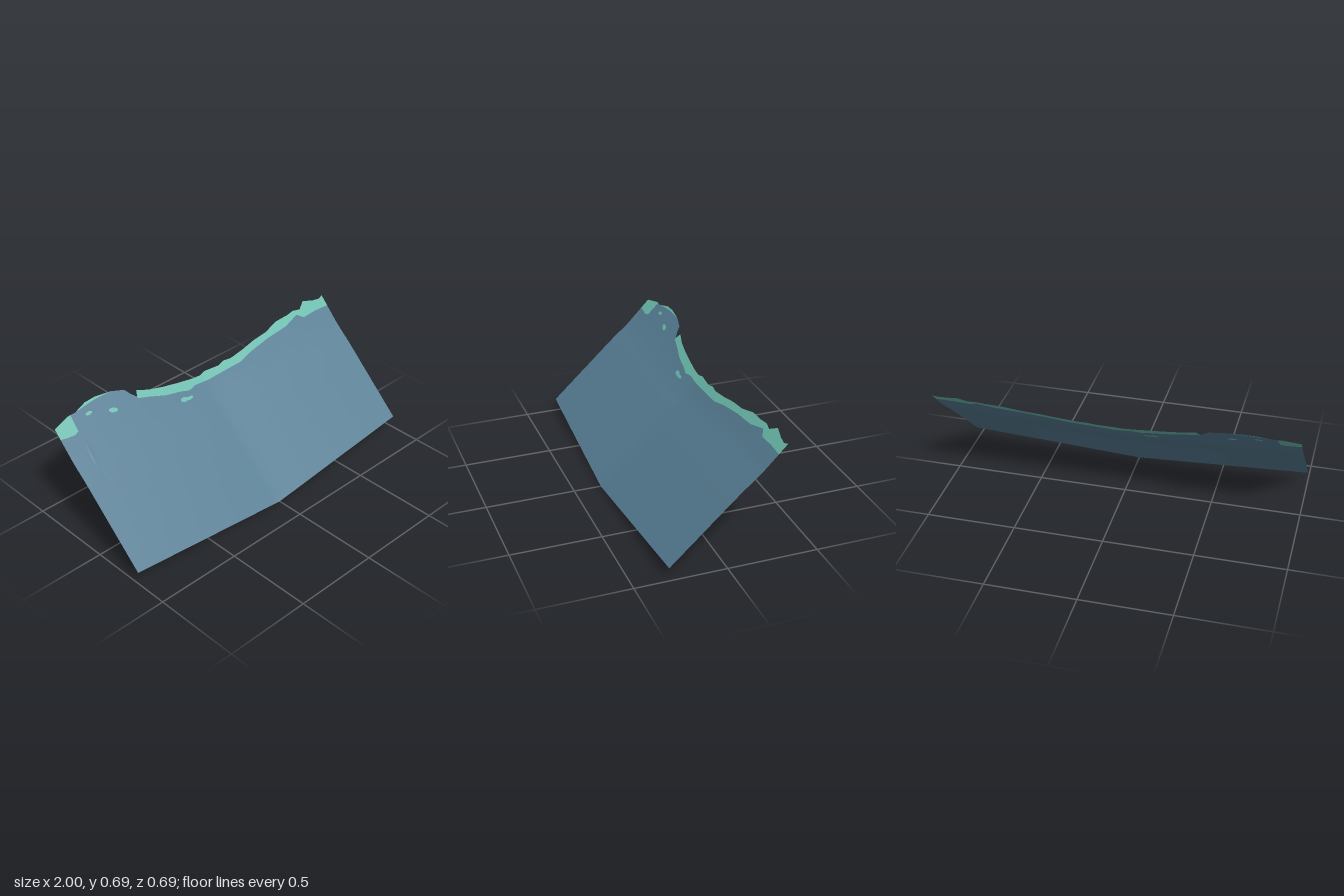
import * as THREE from 'three';

const blue = new THREE.MeshStandardMaterial({ color: 0x567d93, side: THREE.DoubleSide });
blue.name = 'slate blue';
const teal = new THREE.MeshStandardMaterial({ color: 0x6abbac, side: THREE.DoubleSide });
teal.name = 'sea green';

// Ragged top outline and lower limit of the green trim, as [x, y]
const TOP = [[-1, 0.655], [-0.9, 0.675], [-0.85, 0.675], [-0.77, 0.693], [-0.7, 0.695], [-0.6, 0.685],
  [-0.52, 0.665], [-0.5, 0.643], [-0.47, 0.617], [-0.455, 0.642], [-0.38, 0.62], [-0.3, 0.605], [-0.2, 0.59],
  [-0.1, 0.577], [-0.04, 0.573], [0, 0.58], [0.1, 0.576], [0.15, 0.585], [0.2, 0.581], [0.3, 0.592],
  [0.4, 0.607], [0.5, 0.615], [0.6, 0.637], [0.7, 0.641], [0.75, 0.647], [0.8, 0.64], [0.85, 0.666],
  [0.92, 0.651], [0.97, 0.646], [1, 0.655]];
const TRIM = [[-1, 0.61], [-0.95, 0.604], [-0.91, 0.601], [-0.885, 0.608], [-0.88, 0.675], [-0.47, 0.7],
  [-0.465, 0.61], [-0.4, 0.595], [-0.3, 0.568], [-0.2, 0.552], [-0.15, 0.54], [-0.1, 0.548], [0, 0.541],
  [0.1, 0.545], [0.25, 0.55], [0.35, 0.57], [0.5, 0.589], [0.65, 0.6], [0.76, 0.625], [0.8, 0.602],
  [0.9, 0.607], [1, 0.605]];
// Depth of the sheet by height, as [y, z], on the centre fold and at the side edges
const CENTRE = [[0, 0.345], [0.37, -0.045], [0.477, -0.165], [0.585, -0.265], [0.72, -0.388]];
const EDGE = [[0.07, 0.32], [0.43, -0.066], [0.514, -0.165], [0.648, -0.295], [0.72, -0.364]];

function lerpTable(table, v) {
  let i = 1;
  while (i < table.length - 1 && v > table[i][0]) i++;
  const [a, b] = [table[i - 1], table[i]];
  return a[1] + (b[1] - a[1]) * (v - a[0]) / (b[0] - a[0]);
}

function depth(x, y) {
  return THREE.MathUtils.lerp(lerpTable(CENTRE, y), lerpTable(EDGE, y), Math.abs(x));
}

// Folded sheet: blue rows below, one green row along the top
function sheetGeometry() {
  const xs = [...new Set([...TOP, ...TRIM].map(p => p[0]))].sort((a, b) => a - b);
  const rows = 16, stride = rows + 2;
  const pos = [], body = [], trim = [];
  for (const x of xs) {
    const top = lerpTable(TOP, x);
    const limit = Math.min(top, lerpTable(TRIM, x));
    const bottom = 0.075 * Math.abs(x);
    for (let r = 0; r <= rows; r++) {
      const y = bottom + (limit - bottom) * r / rows;
      pos.push(x, y, depth(x, y));
    }
    pos.push(x, top, depth(x, top));
  }
  for (let c = 0; c < xs.length - 1; c++) {
    for (let r = 0; r <= rows; r++) {
      const a = c * stride + r, b = a + stride;
      (r < rows ? body : trim).push(a, b, b + 1, a, b + 1, a + 1);
    }
  }
  const geo = new THREE.BufferGeometry();
  geo.setAttribute('position', new THREE.Float32BufferAttribute(pos, 3));
  geo.setIndex([...body, ...trim]);
  geo.addGroup(0, body.length, 0);
  geo.addGroup(body.length, trim.length, 1);
  geo.computeVertexNormals();
  return geo;
}

// Small green patch laid on one face of the sheet
function patch(x, y, rx, ry, tilt, side) {
  const geo = new THREE.CircleGeometry(1, 10);
  geo.scale(rx, ry, 1).rotateZ(tilt).translate(x, y, 0);
  const p = geo.attributes.position;
  for (let i = 0; i < p.count; i++) {
    const px = p.getX(i), py = p.getY(i);
    p.setXYZ(i, px, py + 0.002 * side, depth(px, py) + 0.002 * side);
  }
  geo.computeVertexNormals();
  const mesh = new THREE.Mesh(geo, teal);
  mesh.name = side > 0 ? 'frontPatch' : 'backPatch';
  return mesh;
}

export function createModel() {
  const group = new THREE.Group();
  group.name = 'foldedSheet';
  const sheet = new THREE.Mesh(sheetGeometry(), [blue, teal]);
  sheet.name = 'sheet';
  group.add(sheet);
  for (const side of [1, -1]) {
    group.add(patch(-0.78, 0.649, 0.022, 0.007, 0, side));
    group.add(patch(-0.64, 0.616, 0.028, 0.01, -0.2, side));
    group.add(patch(-0.21, 0.518, 0.024, 0.01, -0.1, side));
    group.add(patch(-0.175, 0.513, 0.026, 0.007, 0, side));
  }
  return group;
}
